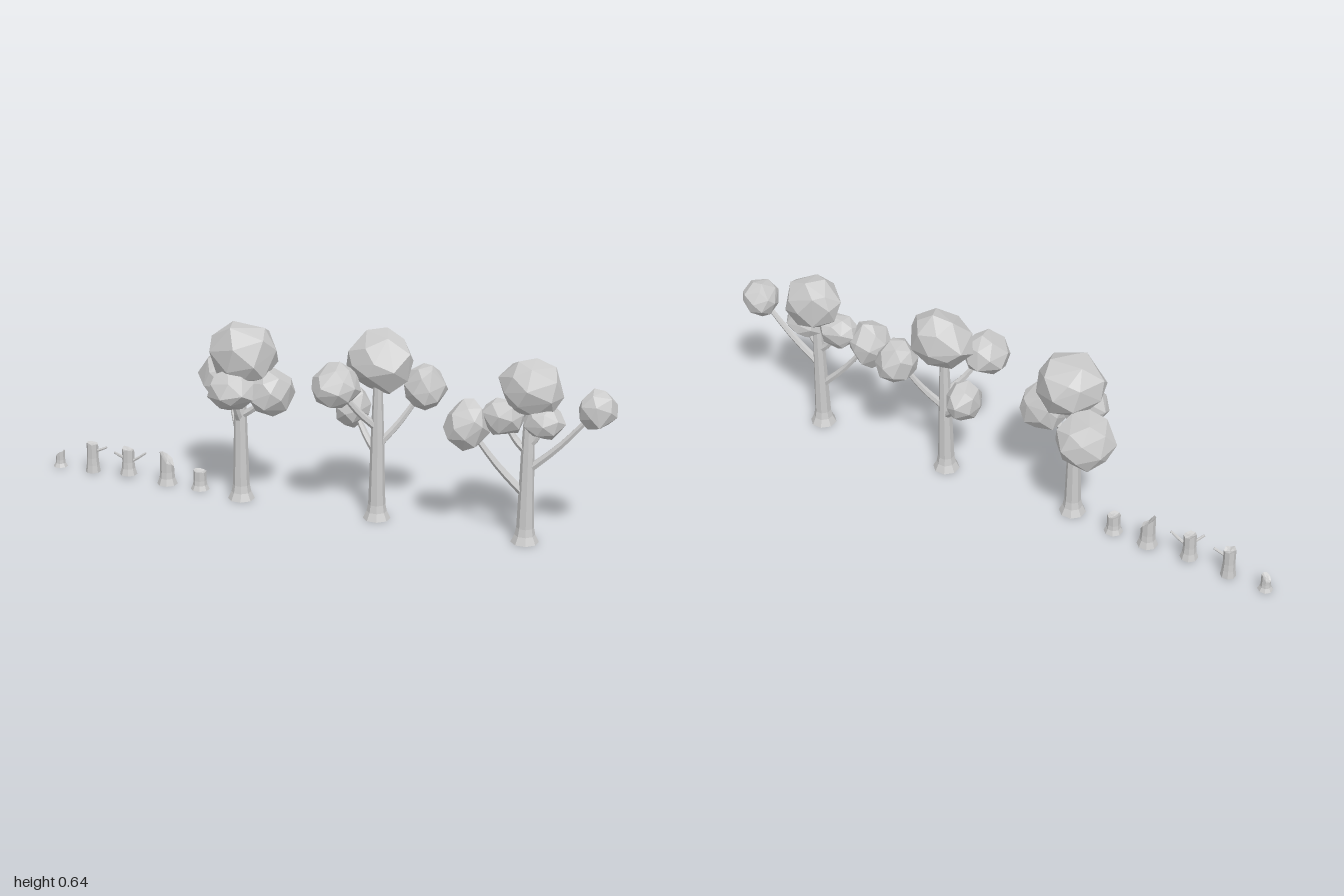
import * as THREE from 'three';
import { ConvexGeometry } from 'three/addons/geometries/ConvexGeometry.js';

const mat = new THREE.MeshStandardMaterial({ color: 0xcccccc, flatShading: true });

function seeded(seed) {
  let s = seed * 7919 + 17;
  return () => (s = (s * 16807) % 2147483647) / 2147483647;
}

function group(parent, name) {
  const g = new THREE.Group();
  g.name = name;
  parent.add(g);
  return g;
}

function add(parent, name, geometry) {
  const mesh = new THREE.Mesh(geometry, mat);
  mesh.name = name;
  parent.add(mesh);
}

// Faceted leaf clump: hull of jittered sphere points, fitted to the given radii
function clumpGeometry(center, radii, seed) {
  const rnd = seeded(seed), pts = [], n = 25;
  const turn = rnd() * 6;
  const jitter = () => (rnd() - 0.5) * 0.3;
  for (let i = 0; i < n; i++) {
    const y = 1 - (2 * i + 1) / n, r = Math.sqrt(1 - y * y), a = turn + i * 2.39996;
    const p = new THREE.Vector3(r * Math.cos(a) + jitter(), y + jitter(), r * Math.sin(a) + jitter());
    pts.push(p.normalize().multiplyScalar(0.93 + rnd() * 0.12));
  }
  const g = new ConvexGeometry(pts).center();
  g.computeBoundingBox();
  const { max } = g.boundingBox;
  g.scale(radii.x / max.x, radii.y / max.y, radii.z / max.z);
  return g.translate(center.x, center.y, center.z);
}

// Tapered branch that leaves the trunk flat and bends upward, closed with a flat tip
function branchGeometry(start, end, sag, r0, r1) {
  const seg = 7, sides = 6;
  const bend = start.clone().lerp(end, 0.5);
  bend.y -= sag;
  const path = new THREE.CatmullRomCurve3([start, bend, end]);
  const g = new THREE.TubeGeometry(path, seg, 1, sides);
  const pos = g.attributes.position, v = new THREE.Vector3();
  for (let i = 0; i <= seg; i++) {
    const t = Math.min(1, i / (seg - 1));
    const from = path.getPointAt(i / seg), to = path.getPointAt(t);
    const r = i === seg ? 0 : r0 + (r1 - r0) * t;
    for (let j = 0; j <= sides; j++) {
      const k = i * (sides + 1) + j;
      v.fromBufferAttribute(pos, k).sub(from).multiplyScalar(r).add(to);
      pos.setXYZ(k, v.x, v.y, v.z);
    }
  }
  g.computeVertexNormals();
  return g;
}

// Eight-sided trunk with a flared foot, closed at both ends
function trunkGeometry(profile) {
  const g = new THREE.LatheGeometry(profile.map(([r, y]) => new THREE.Vector2(r, y)), 8);
  return g.rotateY(Math.PI / 8);
}

// Each clump row: centre x, y, z, radii x, y, z, height of its branch on the trunk (0 = on the trunk top)
function addTree(model, x, z, height, seed, clumps) {
  const tree = group(model, 'tree');
  add(tree, 'trunk', trunkGeometry([
    [0, 0], [0.045, 0], [0.033, 0.025], [0.028, 0.05],
    [0.025, 0.15], [0.021, 0.3], [0.014, height], [0, height],
  ]).translate(x, 0, z));
  clumps.forEach(([cx, cy, cz, rx, ry, rz, fork], i) => {
    const center = new THREE.Vector3(cx, cy, cz);
    add(tree, 'leafClump', clumpGeometry(center, new THREE.Vector3(rx, ry, rz), seed + i));
    if (fork) {
      const start = new THREE.Vector3(x, fork, z);
      const end = start.clone().lerp(center, 0.93);
      add(tree, 'branch', branchGeometry(start, end, 0.012, 0.014, 0.008));
    }
  });
}

// Broken stump: foot and body radius, height, tilt of the top, depth of splinters
function addStump(model, { x, y = 0, foot, r, h, tilt, jag, twigs = [] }) {
  const stump = group(model, 'stump');
  stump.position.set(x, y, 0);
  const g = trunkGeometry([
    [0, 0], [foot, 0], [r * 1.1, h * 0.25], [r, h * 0.5], [r, h],
    [r * 0.6, h - 0.004], [0, h - 0.006],
  ]);
  // Splinter the rim
  const pos = g.attributes.position, rnd = seeded(Math.round(10 - x * 50));
  const chips = Array.from({ length: 8 }, () => rnd() - 0.5);
  for (let i = 0; i < pos.count; i++) {
    const ring = i % 7, chip = chips[Math.floor(i / 7) % 8];
    if (ring < 4) continue;
    const depth = jag * [1, 0.6, 0][ring - 4];
    pos.setY(i, pos.getY(i) + (tilt * pos.getX(i)) / r + depth * chip);
  }
  g.computeVertexNormals();
  add(stump, 'stumpBody', g);
  // Each twig: start height, then the tip
  twigs.forEach(([from, ...tip]) => {
    const start = new THREE.Vector3(0, from, 0);
    add(stump, 'twig', branchGeometry(start, new THREE.Vector3(...tip), 0.002, 0.006, 0.004));
  });
}

export function createModel() {
  const model = new THREE.Group();
  model.name = 'treesAndStumps';

  addTree(model, -0.26, 0.02, 0.46, 3, [
    [-0.245, 0.505, 0.01, 0.112, 0.1, 0.11, 0],
    [-0.355, 0.385, -0.08, 0.097, 0.095, 0.087, 0.2],
    [-0.26, 0.4, 0.085, 0.083, 0.07, 0.08, 0.27],
    [-0.15, 0.39, 0.02, 0.074, 0.08, 0.075, 0.29],
  ]);
  addTree(model, 0.22, 0, 0.48, 13, [
    [0.222, 0.53, -0.015, 0.112, 0.107, 0.09, 0],
    [0.11, 0.463, 0.085, 0.078, 0.075, 0.08, 0.31],
    [0.112, 0.35, -0.055, 0.057, 0.068, 0.07, 0.22],
    [0.35, 0.44, -0.08, 0.068, 0.075, 0.075, 0.25],
  ]);
  addTree(model, 0.725, -0.004, 0.46, 23, [
    [0.725, 0.505, -0.02, 0.106, 0.09, 0.083, 0],
    [0.535, 0.375, 0.033, 0.068, 0.083, 0.068, 0.155],
    [0.935, 0.458, -0.035, 0.062, 0.066, 0.065, 0.24],
    [0.64, 0.405, 0, 0.068, 0.058, 0.055, 0.3],
    [0.775, 0.405, -0.01, 0.068, 0.058, 0.06, 0.32],
  ]);

  addStump(model, { x: -0.97, foot: 0.025, r: 0.016, h: 0.05, tilt: 0.008, jag: 0.016 });
  addStump(model, {
    x: -0.84, foot: 0.026, r: 0.02, h: 0.103, tilt: -0.003, jag: 0.008,
    twigs: [[0.073, 0.052, 0.092, -0.008]],
  });
  addStump(model, {
    x: -0.7, y: 0.012, foot: 0.03, r: 0.021, h: 0.09, tilt: -0.003, jag: 0.008,
    twigs: [[0.04, 0.065, 0.082, -0.008], [0.054, -0.036, 0.082, 0.03]],
  });
  addStump(model, { x: -0.55, foot: 0.035, r: 0.024, h: 0.09, tilt: -0.024, jag: 0.016 });
  addStump(model, { x: -0.425, foot: 0.032, r: 0.022, h: 0.065, tilt: -0.002, jag: 0.007 });
  return model;
}
